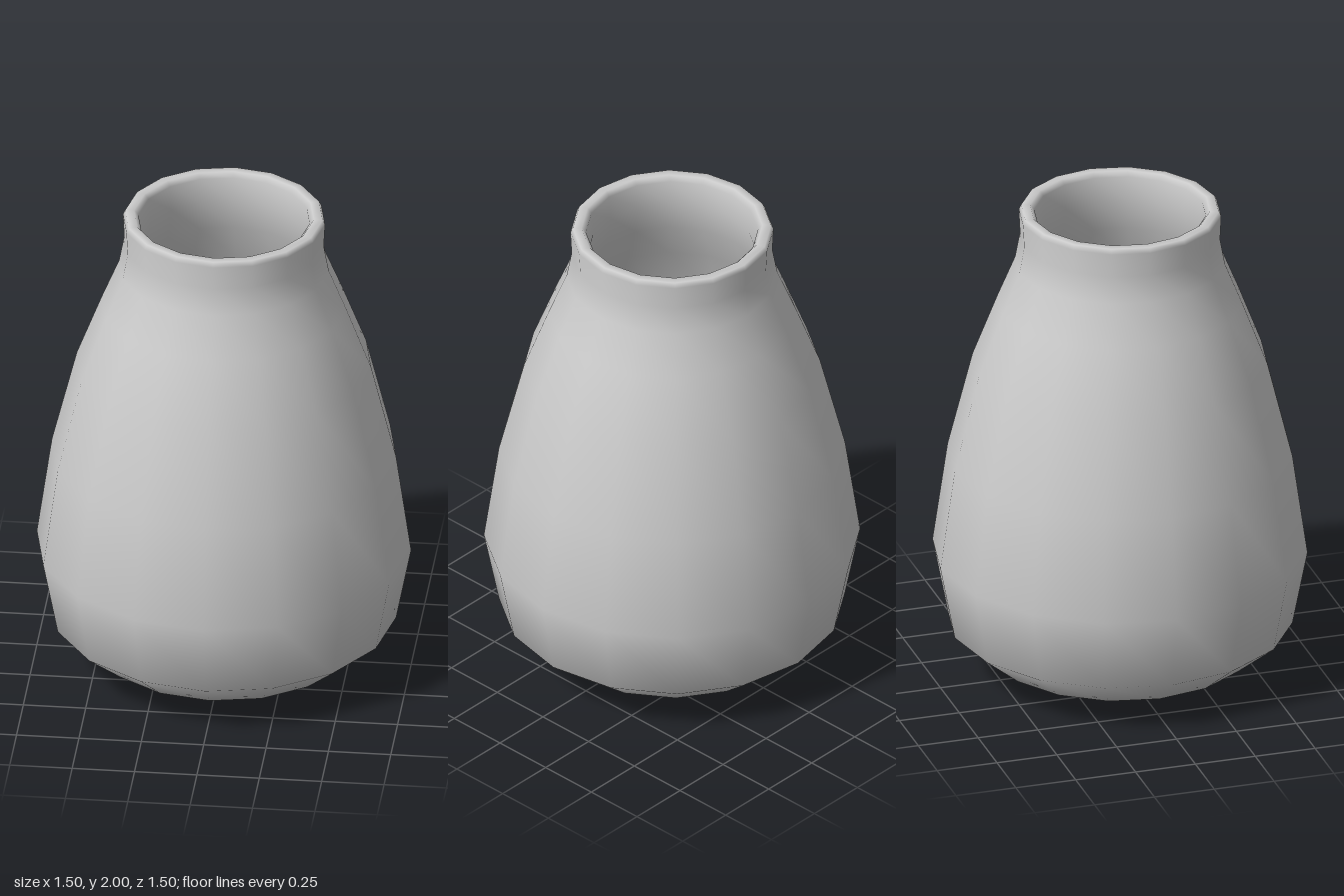
import * as THREE from 'three';

const SIDES = 16;

// Outer wall, from the shallow pointed base up to the neck
const outer = [
  [0, 0], [0.53, 0.08], [0.69, 0.21], [0.75, 0.52], [0.69, 0.94],
  [0.59, 1.34], [0.49, 1.6], [0.42, 1.77], [0.4, 1.88], [0.405, 1.98],
];
// Rolled lip
const lip = [[0.395, 2], [0.36, 2], [0.343, 1.98]];
// Inner wall, from the neck down to the floor
const inner = [
  [0.335, 1.88], [0.355, 1.75], [0.425, 1.58], [0.525, 1.32], [0.625, 0.93],
  [0.68, 0.52], [0.63, 0.25], [0.5, 0.14], [0, 0.07],
];

export function createModel() {
  const group = new THREE.Group();
  group.name = 'vase';

  const profile = [...outer, ...lip, ...inner].map(([r, y]) => new THREE.Vector2(r, y));
  const body = new THREE.Mesh(
    new THREE.LatheGeometry(profile, SIDES),
    new THREE.MeshStandardMaterial({ color: 0xcccccc })
  );
  body.name = 'vaseBody';
  group.add(body);

  return group;
}
